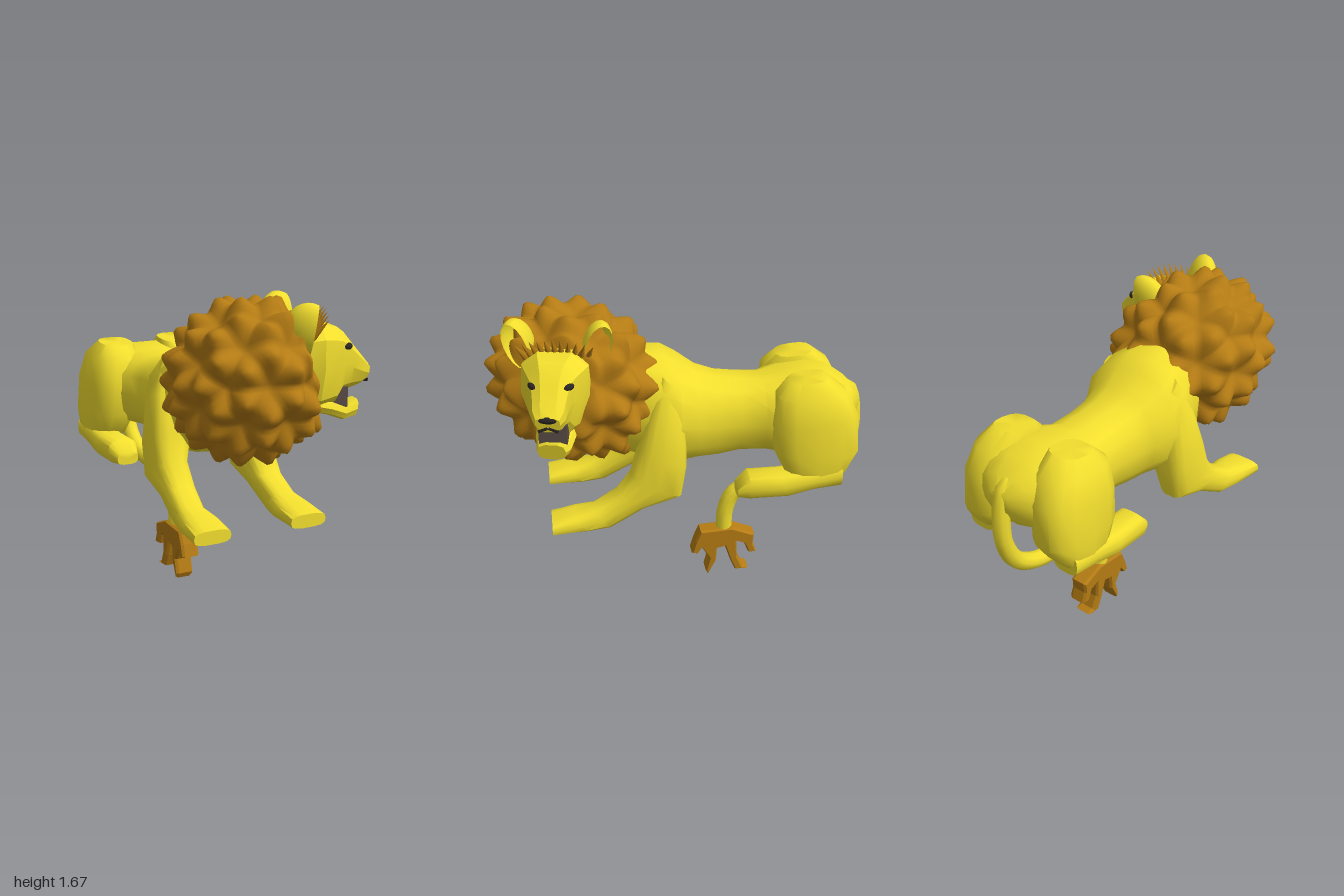
import * as THREE from 'three';
import { mergeVertices, toCreasedNormals } from 'three/addons/utils/BufferGeometryUtils.js';

const paint = (color, side = THREE.FrontSide) => new THREE.MeshStandardMaterial({ color, side });
const FUR = paint(0xf2de2e);
const EAR = paint(0xf2de2e, THREE.DoubleSide);
const HAIR = paint(0xb57c14);
const DARK = paint(0x2b2622);
const MOUTH = paint(0x5a4c46);
const MID = -0.08; // body centre line

function add(parent, name, geometry, material, pos = [0, 0, 0]) {
  const mesh = new THREE.Mesh(geometry, material);
  mesh.name = name;
  mesh.position.set(...pos);
  parent.add(mesh);
  return mesh;
}

// Closed skin over rings [x, halfWidth, zA, yA, zB, yB]; A and B are opposite points of the side outline
function loft(rings, { n = 14, power = 0.85, taper = 0, crease = 0.8 } = {}) {
  const pos = [], index = [];
  const soft = (v) => Math.sign(v) * Math.abs(v) ** power;
  for (const [x, w, zA, yA, zB, yB] of rings) {
    for (let i = 0; i < n; i++) {
      const t = (i / n) * Math.PI * 2, s = soft(Math.sin(t)), k = (1 + s) / 2;
      pos.push(x + w * soft(Math.cos(t)) * (1 + taper * s), yB + (yA - yB) * k, zB + (zA - zB) * k);
    }
  }
  const last = rings.length - 1;
  for (let r = 0; r < last; r++) {
    for (let i = 0; i < n; i++) {
      const a = r * n + i, b = r * n + (i + 1) % n;
      index.push(a, b, a + n, b, b + n, a + n);
    }
  }
  // end caps
  for (const r of [0, last]) {
    const [x, , zA, yA, zB, yB] = rings[r];
    const c = pos.length / 3;
    pos.push(x, (yA + yB) / 2, (zA + zB) / 2);
    for (let i = 0; i < n; i++) {
      const a = r * n + i, b = r * n + (i + 1) % n;
      if (r) index.push(a, b, c); else index.push(b, a, c);
    }
  }
  // turn the skin outward if its signed volume is negative
  const p = (i) => new THREE.Vector3().fromArray(pos, i * 3);
  let volume = 0;
  for (let i = 0; i < index.length; i += 3) volume += p(index[i]).dot(p(index[i + 1]).cross(p(index[i + 2])));
  if (volume < 0) index.reverse();
  const g = new THREE.BufferGeometry();
  g.setAttribute('position', new THREE.Float32BufferAttribute(pos, 3));
  g.setIndex(index);
  return toCreasedNormals(g, crease);
}

// Ball with one broad spike on every face of an 80-sided ball, flatter towards the face, sagging at the back
function maneGeometry() {
  const seeds = new THREE.IcosahedronGeometry(1, 1).getAttribute('position');
  const v = (i) => new THREE.Vector3().fromBufferAttribute(seeds, i);
  const spikes = [];
  for (let i = 0; i < seeds.count; i += 3) spikes.push(v(i).add(v(i + 1)).add(v(i + 2)).normalize());
  let g = new THREE.IcosahedronGeometry(1, 19);
  g.deleteAttribute('uv');
  g.deleteAttribute('normal');
  g = mergeVertices(g, 1e-4);
  const pos = g.getAttribute('position'), d = new THREE.Vector3();
  for (let i = 0; i < pos.count; i++) {
    d.fromBufferAttribute(pos, i).normalize();
    const angle = Math.acos(Math.min(1, Math.max(...spikes.map((s) => s.dot(d)))));
    d.multiplyScalar(0.335 + 0.105 * Math.max(0, 1 - angle / 0.34) ** 1.3);
    const limit = 0.3 - 0.3 * d.y + 0.25 * d.x;
    if (d.z > limit) d.z = limit + (d.z - limit) * 0.3;
    pos.setXYZ(i, d.x * 1.1, d.y - 0.12 * d.x, d.z);
  }
  g.computeVertexNormals();
  return g;
}

function buildHead() {
  const head = new THREE.Group();
  head.name = 'head';
  const low = { n: 10, power: 0.75, crease: 0.35 };
  add(head, 'skull', loft([
    [0, 0.16, -0.05, 1.53, -0.05, 1.13],
    [0, 0.175, 0.11, 1.55, 0.1, 1.11],
    [0, 0.13, 0.2, 1.53, 0.2, 1.13],
    [0, 0.107, 0.24, 1.5, 0.235, 1.19],
    [0, 0.09, 0.29, 1.44, 0.28, 1.21],
    [0, 0.08, 0.35, 1.37, 0.34, 1.23],
    [0, 0.06, 0.385, 1.33, 0.37, 1.25],
  ], { ...low, taper: 0.15 }), FUR);
  add(head, 'lowerJaw', loft([
    [0, 0.11, 0.05, 1.2, 0.05, 1.12],
    [0, 0.1, 0.18, 1.17, 0.17, 1.09],
    [0, 0.085, 0.26, 1.14, 0.25, 1.06],
    [0, 0.07, 0.33, 1.16, 0.31, 1.07],
  ], low), FUR);
  add(head, 'mouth', new THREE.BoxGeometry(0.14, 0.1, 0.12), MOUTH, [0, 1.18, 0.205]);
  const nose = add(head, 'nose', new THREE.SphereGeometry(1, 8, 6), DARK, [0, 1.315, 0.372]);
  nose.scale.set(0.055, 0.02, 0.022);
  for (const s of [-1, 1]) {
    const eye = add(head, 'eye', new THREE.SphereGeometry(1, 8, 6), DARK, [s * 0.088, 1.43, 0.25]);
    eye.scale.set(0.034, 0.018, 0.018);
    eye.rotation.set(-0.3, s * 0.9, s * 0.3);
    const lip = add(head, 'lipLine', new THREE.BoxGeometry(0.05, 0.014, 0.02), DARK, [s * 0.025, 1.262, 0.366]);
    lip.rotation.z = -s * 0.4;
    // cupped ear opening forward
    const cup = new THREE.SphereGeometry(1, 16, 8, 0, Math.PI * 2, 0, Math.PI * 0.6).rotateX(-Math.PI / 2);
    const ear = add(head, 'ear', cup, EAR, [s * 0.195, 1.54, 0]);
    ear.scale.set(0.07, 0.13, 0.11);
    ear.rotation.set(0.15, s * 0.3, -s * 0.3);
  }
  // forelock: a row of points between the ears
  for (let i = 0; i < 11; i++) {
    const u = i / 5 - 1;
    const lock = add(head, 'forelock', new THREE.ConeGeometry(0.03, 0.18, 5), HAIR,
      [u * 0.16, 1.55 - 0.04 * u * u, 0.09 - 0.03 * u * u]);
    lock.rotation.set(0.65, 0, -u * 0.35);
  }
  return head;
}

export function createModel() {
  const model = new THREE.Group();
  model.name = 'lion';

  // trunk from chest to rump
  add(model, 'trunk', loft([
    [MID, 0.16, 0.42, 1.4, 0.42, 1.0],
    [MID, 0.24, 0.2, 1.42, 0.3, 0.86],
    [MID, 0.28, 0.08, 1.41, 0.15, 0.82],
    [MID, 0.3, 0, 1.36, 0.02, 0.8],
    [MID, 0.235, -0.1, 1.29, -0.1, 0.8],
    [MID, 0.21, -0.2, 1.255, -0.2, 0.8],
    [MID, 0.2, -0.32, 1.24, -0.32, 0.82],
    [MID, 0.21, -0.45, 1.23, -0.45, 0.82],
    [MID, 0.29, -0.55, 1.25, -0.55, 0.82],
    [MID, 0.31, -0.7, 1.265, -0.7, 0.84],
    [MID, 0.28, -0.82, 1.24, -0.82, 0.87],
    [MID, 0.18, -0.91, 1.18, -0.9, 0.92],
    [MID, 0.07, -0.97, 1.12, -0.97, 1.02],
  ]), FUR);

  for (const s of [-1, 1]) {
    const limb = (name, rings, power) =>
      add(model, name, loft(rings.map(([x, ...rest]) => [MID + s * x, ...rest]), { power }), FUR);
    limb('frontLeg', [
      [0.15, 0.08, 0.1, 1.34, 0.02, 1.27],
      [0.2, 0.11, 0.17, 1.16, -0.02, 1.1],
      [0.23, 0.11, 0.23, 0.96, -0.02, 0.86],
      [0.25, 0.09, 0.27, 0.83, 0.01, 0.69],
      [0.25, 0.08, 0.35, 0.72, 0.2, 0.635],
      [0.26, 0.075, 0.47, 0.65, 0.38, 0.535],
      [0.26, 0.095, 0.57, 0.63, 0.5, 0.53],
      [0.265, 0.1, 0.69, 0.6, 0.69, 0.53],
    ], 0.65);
    limb('haunch', [
      [0.18, 0.09, -0.56, 1.27, -0.76, 1.29],
      [0.2, 0.13, -0.49, 1.2, -0.86, 1.21],
      [0.215, 0.14, -0.47, 1.05, -0.92, 1.09],
      [0.23, 0.135, -0.48, 0.9, -0.93, 0.88],
      [0.25, 0.11, -0.54, 0.78, -0.88, 0.8],
      [0.27, 0.08, -0.62, 0.71, -0.82, 0.73],
    ], 0.75);
    limb('hindFoot', [
      [0.28, 0.075, -0.83, 0.83, -0.83, 0.71],
      [0.285, 0.08, -0.7, 0.82, -0.68, 0.7],
      [0.285, 0.085, -0.5, 0.8, -0.55, 0.67],
      [0.285, 0.085, -0.34, 0.8, -0.34, 0.67],
      [0.28, 0.06, -0.28, 0.74, -0.28, 0.675],
    ], 0.65);
  }

  // tail sweeping down and forward
  const path = [[1.14, -0.86], [1.13, -0.92], [1.02, -0.955], [0.82, -0.95], [0.68, -0.88], [0.6, -0.75],
    [0.575, -0.58], [0.565, -0.42], [0.52, -0.32], [0.42, -0.275], [0.27, -0.265]];
  const curve = new THREE.CatmullRomCurve3(path.map(([y, z]) => new THREE.Vector3(MID, y, z)));
  add(model, 'tail', new THREE.TubeGeometry(curve, 36, 0.045, 10), FUR);

  // tuft of curling locks
  const outline = [[0.13, 0.3], [0.1, 0.23], [0.08, 0.16], [0.115, 0.15], [0.14, 0.19], [0.18, 0.12], [0.16, 0.04],
    [0.175, 0.01], [0.22, 0.1], [0.225, 0.18], [0.27, 0.19], [0.3, 0.1], [0.33, 0.03], [0.405, 0.035], [0.37, 0.05],
    [0.34, 0.12], [0.335, 0.22], [0.38, 0.2], [0.405, 0.14], [0.45, 0.14], [0.43, 0.2], [0.435, 0.26], [0.31, 0.31]];
  const tuft = new THREE.ExtrudeGeometry(new THREE.Shape(outline.map((p) => new THREE.Vector2(...p))),
    { depth: 0.07, bevelThickness: 0.015, bevelSize: 0.008, bevelOffset: -0.008, bevelSegments: 1 });
  tuft.translate(0, 0, -0.035).rotateY(Math.PI / 2);
  add(model, 'tailTuft', tuft, HAIR, [MID, 0, 0]);

  // mane and head, turned towards the lion's left
  const mane = add(model, 'mane', maneGeometry(), HAIR, [-0.07, 1.265, 0.52]);
  mane.rotation.y = THREE.MathUtils.degToRad(76);
  const head = buildHead();
  head.position.set(0.12, 0, 0.61);
  head.rotation.y = THREE.MathUtils.degToRad(79);
  model.add(head);
  return model;
}
